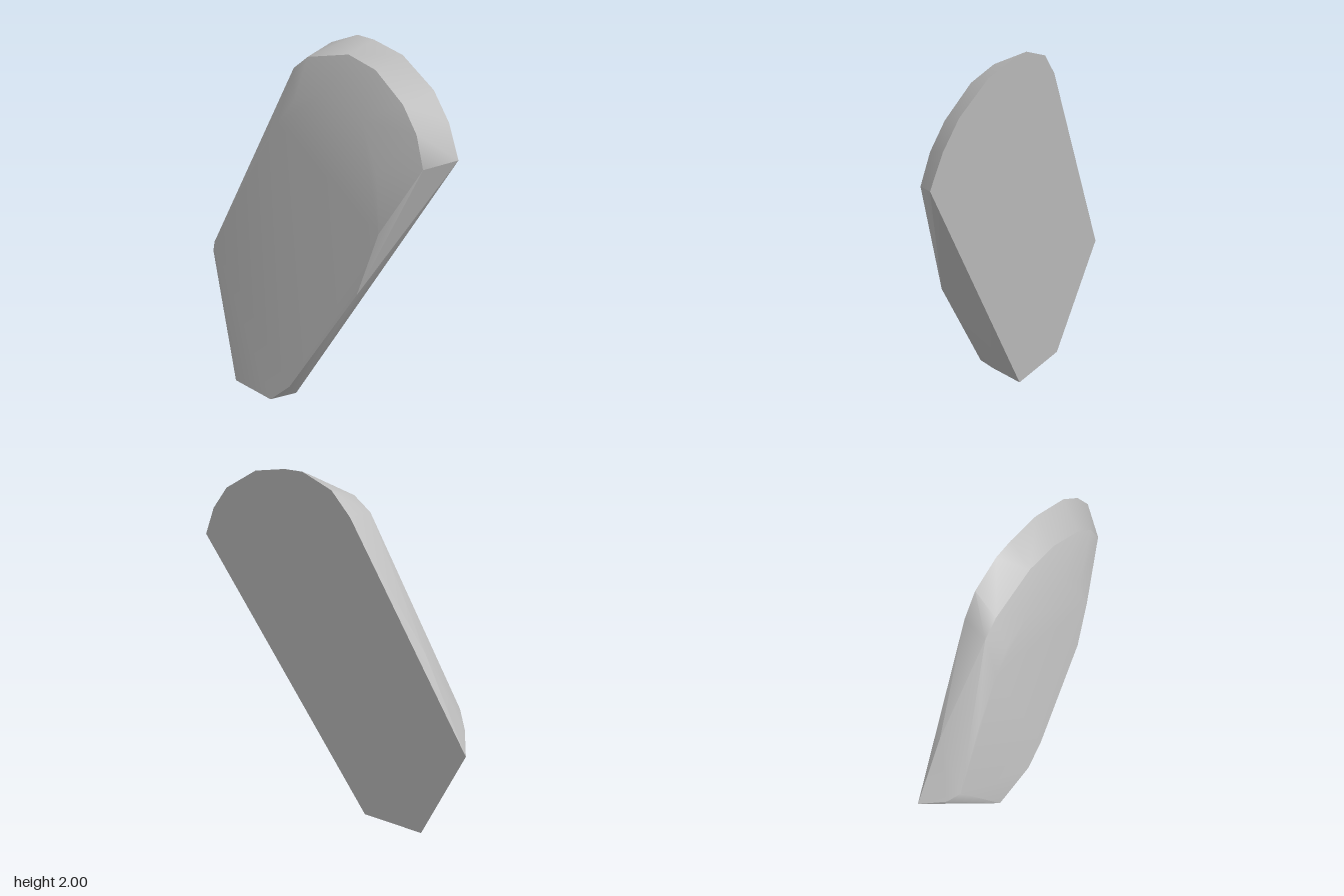
import * as THREE from 'three';
import { ConvexGeometry } from 'three/addons/geometries/ConvexGeometry.js';
import { toCreasedNormals } from 'three/addons/utils/BufferGeometryUtils.js';

// Outlines as [z, y], each lying on a leaning plane at its own depth
const layers = [
  // broad flat face
  { depth: -0.021, outline: [
    [0.79, 1.49], [0.71, 1.66], [0.6, 1.8], [0.39, 1.94], [0.2, 1.99], [0.09, 2.0],
    [-0.08, 1.94], [-0.18, 1.82], [-0.79, 0.645], [-0.49, 0.03], [-0.12, 0.0],
  ] },
  // bulge on the rear edge
  { depth: -0.062, outline: [[-0.545, 1.15]] },
  // shoulder of the rounded rim
  { depth: -0.159, outline: [
    [0.71, 1.45], [0.65, 1.61], [0.55, 1.74], [0.36, 1.88], [0.18, 1.93],
    [-0.09, 1.88], [-0.18, 1.81], [-0.68, 0.71],
  ] },
  // smaller flat face on the other side
  { depth: -0.216, outline: [
    [-0.2, 1.53], [-0.1, 1.66], [0.08, 1.72], [0.36, 1.64], [0.48, 1.4], [0.53, 1.1],
    [0.43, 0.76], [0.03, 0.14], [-0.1, 0.025], [-0.37, 0.05], [-0.61, 0.79], [-0.38, 1.25],
  ] },
];

export function createModel() {
  const group = new THREE.Group();
  group.name = 'stoneSlab';
  const stone = new THREE.MeshStandardMaterial({ color: 0xbfbfbf });
  stone.name = 'stone grey';

  const points = [];
  for (const { depth, outline } of layers) {
    for (const [z, y] of outline) {
      points.push(new THREE.Vector3(depth + 0.1033 * y + 0.161 * z, y, z));
    }
  }

  // Hull with a soft rim and sharp edges
  const slab = new THREE.Mesh(toCreasedNormals(new ConvexGeometry(points), 0.6), stone);
  slab.name = 'slab';
  group.add(slab);
  return group;
}
